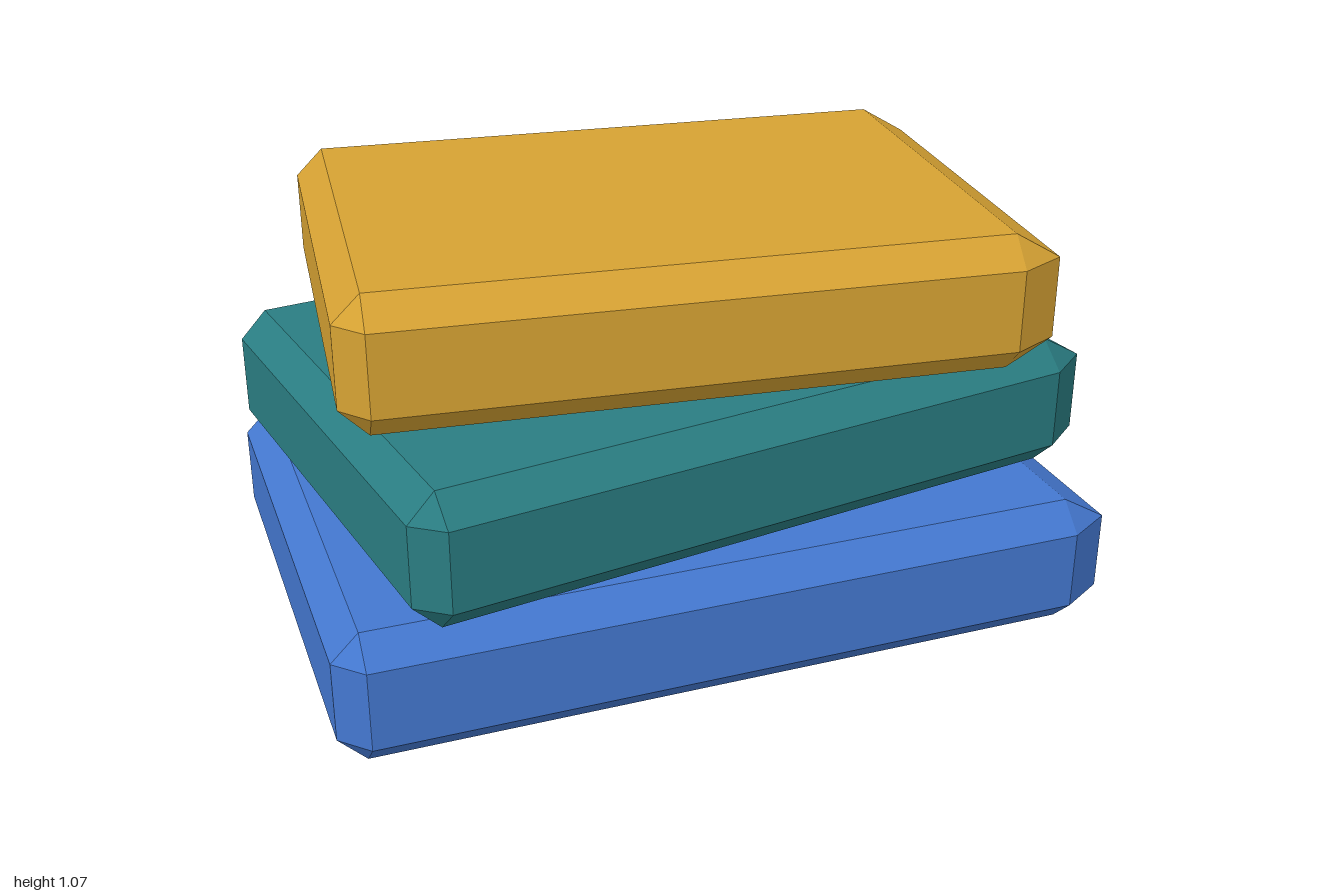
import * as THREE from 'three';
import { ConvexGeometry } from 'three/addons/geometries/ConvexGeometry.js';

// Box with bevelled edges and corners; the +x end has a wider bevel
function bevelledBlock(hx, hy, hz, bevel, wideBevel) {
  const points = [];
  for (const sx of [-1, 1]) {
    const ix = hx - (sx > 0 ? wideBevel : bevel);
    for (const sy of [-1, 1]) {
      for (const sz of [-1, 1]) {
        const iy = hy - bevel, iz = hz - bevel;
        // one corner of the end, top/bottom and front/back faces
        points.push(
          new THREE.Vector3(sx * hx, sy * iy, sz * iz),
          new THREE.Vector3(sx * ix, sy * hy, sz * iz),
          new THREE.Vector3(sx * ix, sy * iy, sz * hz)
        );
      }
    }
  }
  return new ConvexGeometry(points);
}

export function createModel() {
  const group = new THREE.Group();
  group.name = 'bookStack';

  // Three books, each turned a little on the one below
  const books = [
    { name: 'bottomBook', hx: 0.99, hz: 0.68, y: 0.17, turn: 0, color: 0x4478d0 },
    { name: 'middleBook', hx: 0.92, hz: 0.635, y: 0.537, turn: 0.16, color: 0x2a7d82 },
    { name: 'topBook', hx: 0.85, hz: 0.59, y: 0.9, turn: -0.105, color: 0xd6a233 },
  ];

  for (const { name, hx, hz, y, turn, color } of books) {
    const book = new THREE.Mesh(
      bevelledBlock(hx, 0.17, hz, 0.068, 0.115),
      new THREE.MeshStandardMaterial({ color, flatShading: true })
    );
    book.name = name;
    book.position.y = y;
    book.rotation.y = turn;
    group.add(book);
  }
  return group;
}
